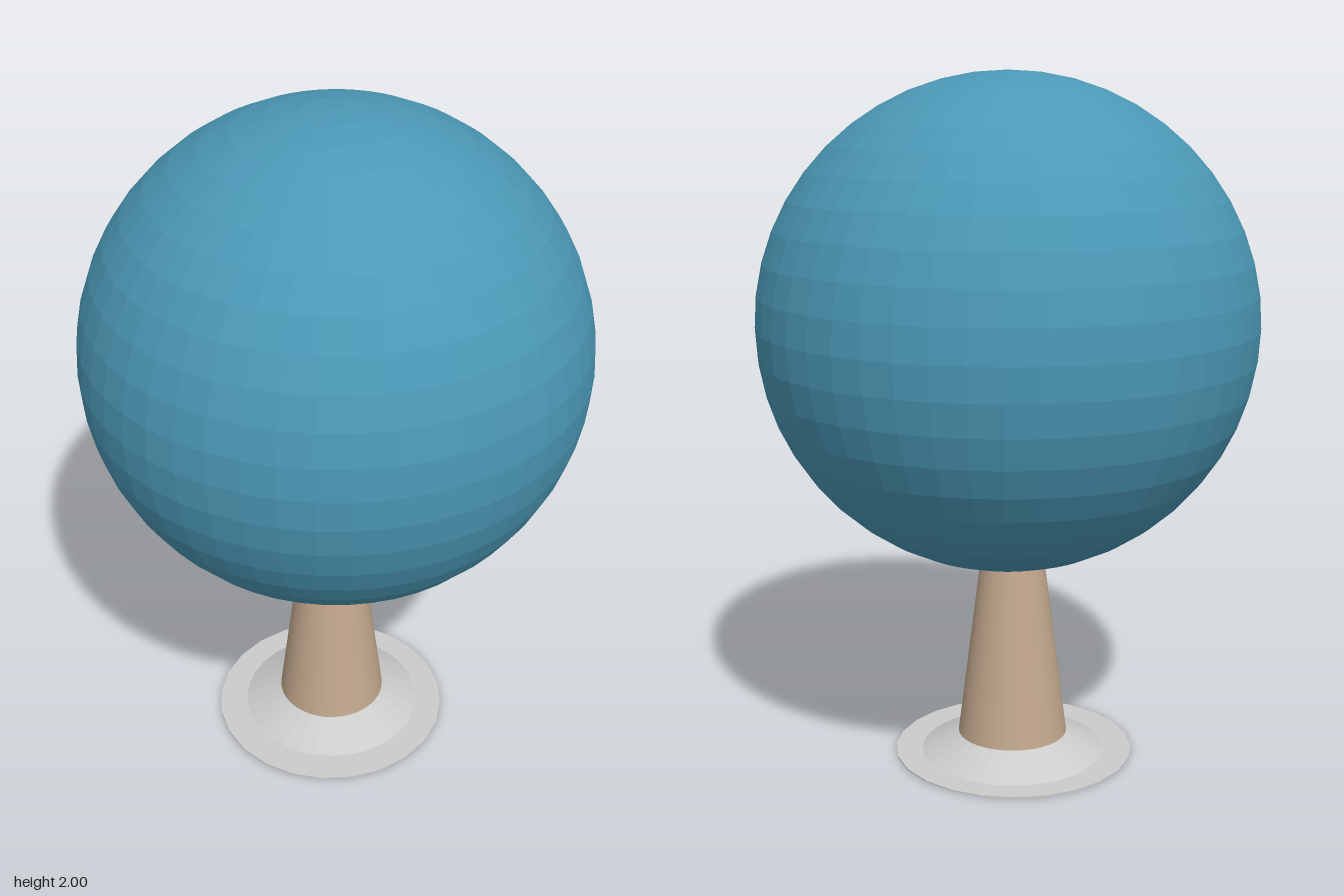
import * as THREE from 'three';

const mat = (color, flatShading = false) => new THREE.MeshStandardMaterial({ color, flatShading });

function part(name, geometry, material, x, y, z) {
  const mesh = new THREE.Mesh(geometry, material);
  mesh.name = name;
  mesh.position.set(x, y, z);
  return mesh;
}

export function createModel() {
  const group = new THREE.Group();
  group.name = 'tree';

  // Faceted, very slightly squashed ball of foliage
  const crown = new THREE.SphereGeometry(0.71, 48, 24);
  crown.scale(1, 0.702 / 0.71, 1);
  group.add(part('crown', crown, mat(0x4b98b6, true), 0, 1.298, 0));

  // Tapered trunk, reaching from the ground into the crown
  const trunk = new THREE.CylinderGeometry(0.087, 0.17, 0.65, 40);
  group.add(part('trunk', trunk, mat(0xc4a98e), -0.004, 0.325, 0.02));

  // Sloped mound around the foot of the trunk
  const mound = new THREE.CylinderGeometry(0.162, 0.278, 0.06, 32, 1, true);
  group.add(part('mound', mound, mat(0xcccccc, true), -0.004, 0.032, 0.02));

  // Thin ground disc, with the trunk showing through its underside
  const rim = [[0.16, 0.001], [0.355, 0.001], [0.355, 0.005], [0.16, 0.005]];
  const disc = new THREE.LatheGeometry(rim.map(([r, y]) => new THREE.Vector2(r, y)), 24);
  group.add(part('groundDisc', disc, mat(0xcccccc, true), -0.002, 0, 0.03));

  return group;
}
